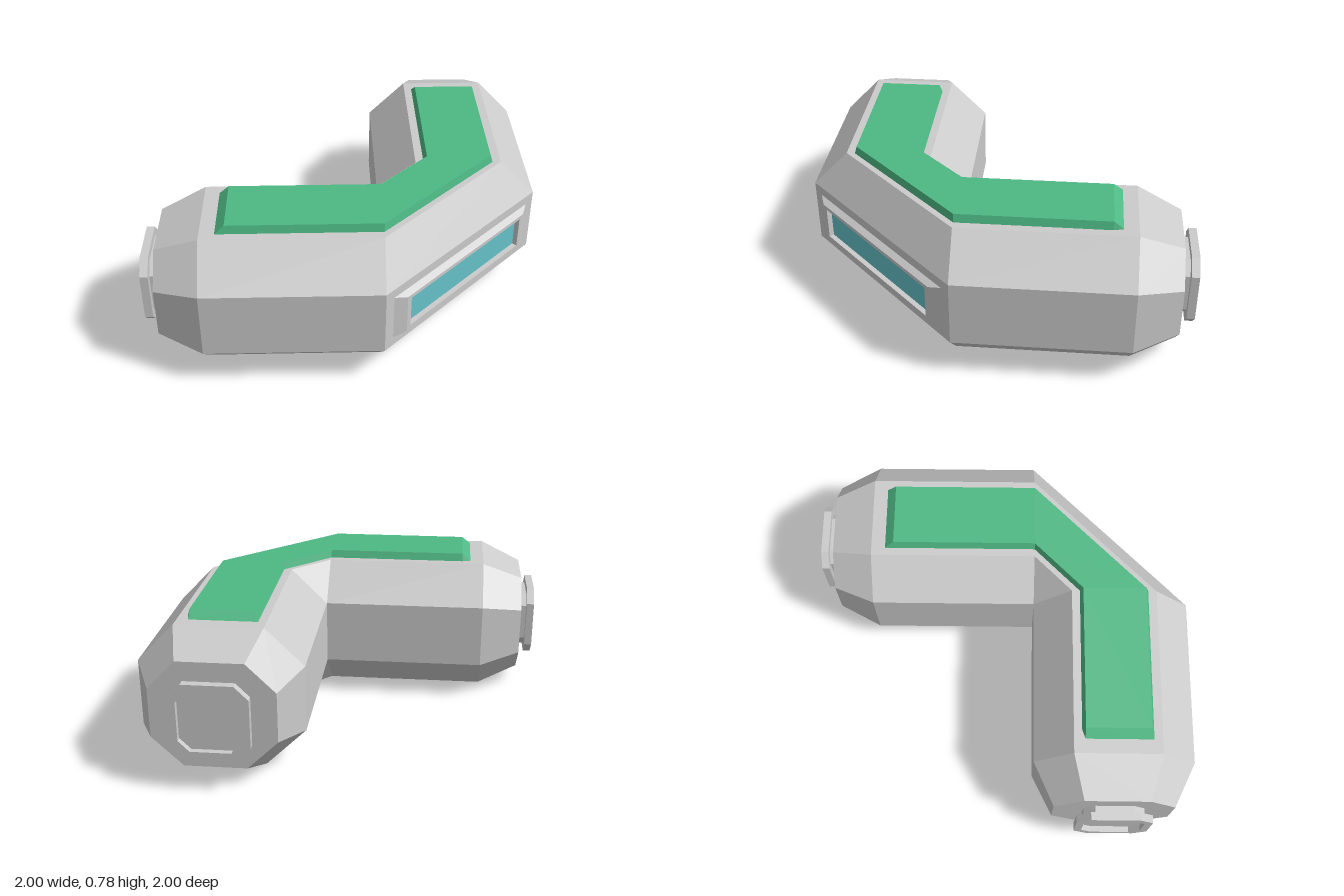
import * as THREE from 'three';

// Skin closed loops of points; loops run clockwise seen from the far end
function loft(name, sections, color, capStart, capEnd) {
  const pos = [];
  const a = new THREE.Vector3(), b = new THREE.Vector3();
  const tri = (p, q, r) => {
    a.subVectors(q, p);
    b.subVectors(r, p);
    if (a.cross(b).length() > 1e-7) for (const v of [p, q, r]) pos.push(v.x, v.y, v.z);
  };
  for (let i = 0; i < sections.length - 1; i++) {
    const s = sections[i], e = sections[i + 1], n = s.length;
    for (let k = 0; k < n; k++) {
      const m = (k + 1) % n;
      tri(s[k], e[k], e[m]);
      tri(s[k], e[m], s[m]);
    }
  }
  const first = sections[0], last = sections[sections.length - 1];
  for (let k = 1; k < first.length - 1; k++) {
    if (capStart) tri(first[0], first[k], first[k + 1]);
    if (capEnd) tri(last[0], last[k + 1], last[k]);
  }
  const geo = new THREE.BufferGeometry();
  geo.setAttribute('position', new THREE.Float32BufferAttribute(pos, 3));
  geo.computeVertexNormals();
  const mesh = new THREE.Mesh(geo, new THREE.MeshStandardMaterial({ color, flatShading: true }));
  mesh.name = name;
  return mesh;
}

// Sections of one arm along -x, continued by the mirrored arm along -z
function elbow(stations) {
  const armA = stations.map(({ t, profile }) => profile.map(([c, y]) => new THREE.Vector3(t, y, c)));
  const armB = stations.map(({ t, profile }) => profile.map(([c, y]) => new THREE.Vector3(c, y, t)));
  return [...armA, ...armB.reverse()];
}

const MID = 0.583, MID_Y = 0.372;

function port(name) {
  // Octagonal neck, flange and recessed plate, facing local +z
  const oct = (w, f, z) => [[-w, -f], [-w, f], [-f, w], [f, w], [w, f], [w, -f], [f, -w], [-f, -w]]
    .map(([x, y]) => new THREE.Vector3(x, y, z));
  return loft(name, [
    oct(0.155, 0.1, -0.01), oct(0.155, 0.1, 0.04),
    oct(0.193, 0.125, 0.04), oct(0.193, 0.125, 0.08),
    oct(0.155, 0.1, 0.08), oct(0.155, 0.1, 0.05),
  ], 0xcccccc, false, true);
}

export function createModel() {
  const group = new THREE.Group();
  group.name = 'cornerCorridor';

  // Hull: octagonal tube with tapered ends and a diagonal corner
  const hull = [[0.995, 0.2], [0.995, 0.545], [0.808, 0.738], [0.365, 0.738],
    [0.17, 0.545], [0.17, 0.2], [0.375, 0], [0.79, 0]];
  const taper = hull.map(([c, y]) => [MID + (c - MID) * 0.75, MID_Y + (y - MID_Y) * 0.745]);
  group.add(loft('hull', elbow([
    { t: -0.92, profile: taper }, { t: -0.7, profile: hull }, { t: 0.17, profile: hull },
  ]), 0xcccccc, true, true));

  // Raised green roof panel with sloped ends
  const roof = [[0.765, 0.735], [0.752, 0.778], [0.422, 0.778], [0.405, 0.735]];
  const roofEnd = roof.map(([c]) => [c, 0.735]);
  group.add(loft('roofPanel', elbow([
    { t: -0.63, profile: roofEnd }, { t: -0.58, profile: roof }, { t: 0.17, profile: roof },
  ]), 0x4db883, false, false));

  // Window on the diagonal corner wall
  const rect = (u, y0, y1, z) => [[-u, y0], [-u, y1], [u, y1], [u, y0]]
    .map(([x, y]) => new THREE.Vector3(x, y, z));
  const cornerWindow = new THREE.Group();
  cornerWindow.name = 'cornerWindow';
  cornerWindow.add(loft('windowFrame', [
    rect(0.535, 0.247, 0.498, -0.004), rect(0.462, 0.265, 0.478, 0.03),
    rect(0.435, 0.288, 0.458, 0.03), rect(0.435, 0.288, 0.458, 0.002),
  ], 0xcccccc, false, false));
  const glass = new THREE.Mesh(
    new THREE.PlaneGeometry(0.87, 0.17),
    new THREE.MeshStandardMaterial({ color: 0x66c4ca }));
  glass.name = 'windowGlass';
  glass.position.set(0, 0.373, 0.003);
  cornerWindow.add(glass);
  cornerWindow.position.set(0.5825, 0, 0.5825);
  cornerWindow.rotation.y = Math.PI / 4;
  group.add(cornerWindow);

  // Docking ports at both ends
  const portA = port('rightPort');
  portA.position.set(-0.92, MID_Y, MID);
  portA.rotation.y = -Math.PI / 2;
  const portB = port('backPort');
  portB.position.set(MID, MID_Y, -0.92);
  portB.rotation.y = Math.PI;
  group.add(portA, portB);

  return group;
}
